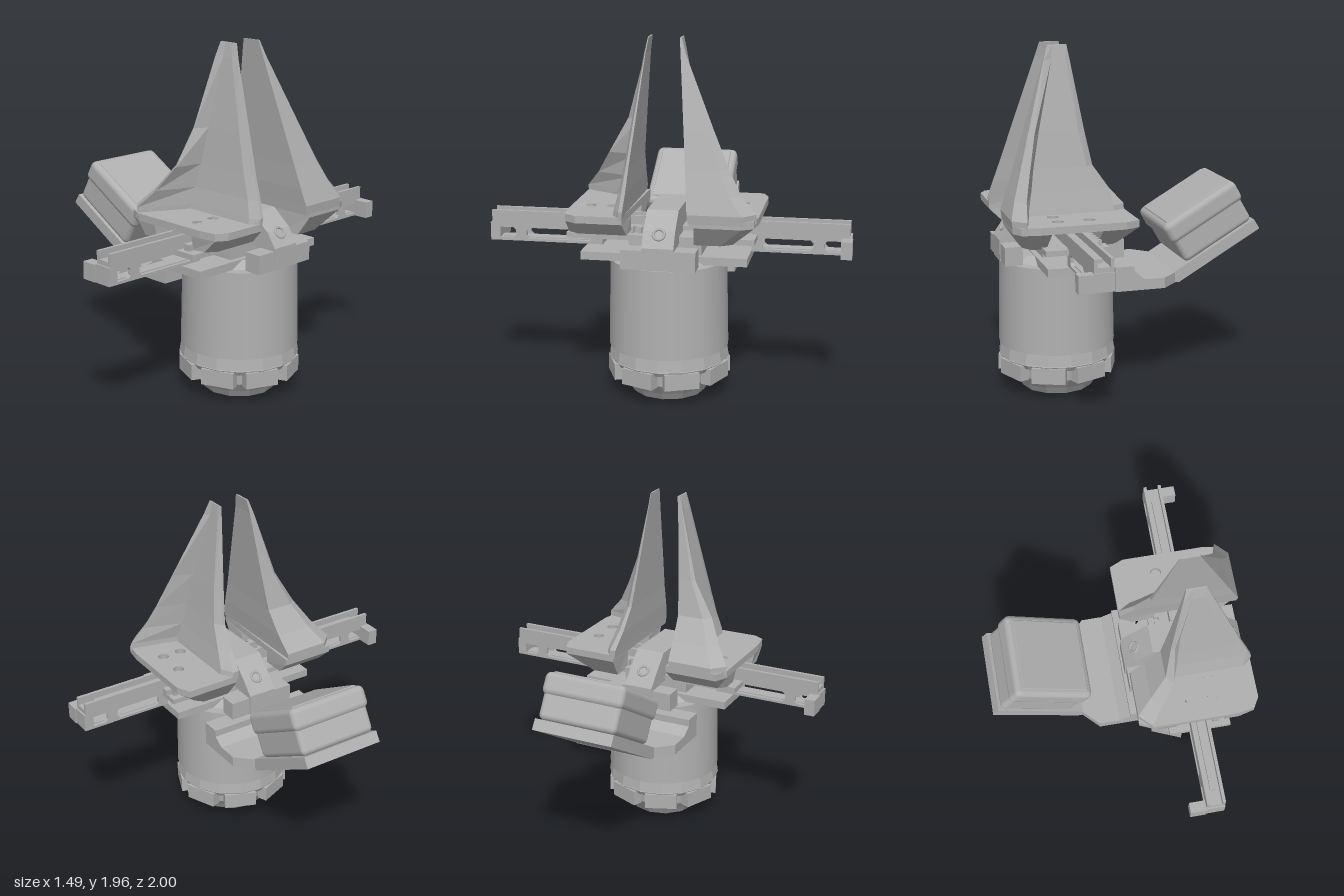
import * as THREE from 'three';
import { RoundedBoxGeometry } from 'three/addons/geometries/RoundedBoxGeometry.js';

const CX = 0.395; // axis of the motor body

export function createModel() {
  const model = new THREE.Group();
  model.name = 'gripper';
  const flat = new THREE.MeshStandardMaterial({ color: 0xb0b0b0 });
  flat.name = 'plain grey';

  const add = (name, geo, parent = model) => {
    const m = new THREE.Mesh(geo, flat);
    m.name = name;
    parent.add(m);
    return m;
  };
  // box given by its limits
  const box = (name, x0, x1, y0, y1, z0, z1) => {
    const [za, zb] = [Math.min(z0, z1), Math.max(z0, z1)];
    return add(name, new THREE.BoxGeometry(x1 - x0, y1 - y0, zb - za)
      .translate((x0 + x1) / 2, (y0 + y1) / 2, (za + zb) / 2));
  };
  const shapeOf = (pts) => new THREE.Shape(pts.map(([a, b]) => new THREE.Vector2(a, b)));
  const extrude = (shape, depth) =>
    new THREE.ExtrudeGeometry(shape, { depth, bevelEnabled: false, curveSegments: 8 });
  // side profile in x, y extruded over z
  const profile = (name, pts, z0, z1) => add(name, extrude(shapeOf(pts), z1 - z0).translate(0, 0, z0));
  // plan outline in x, z extruded over y, with round holes
  const plan = (name, pts, y0, y1, holes = [], r = 0.032) => {
    const s = shapeOf(pts.map(([x, z]) => [x, -z]));
    for (const [x, z] of holes) s.holes.push(new THREE.Path().absarc(x, -z, r, 0, Math.PI * 2, true));
    return add(name, extrude(s, y1 - y0).rotateX(-Math.PI / 2).translate(0, y0, 0));
  };
  // solid through horizontal sections [y, [x, z]...]
  const loft = (name, sections) => {
    let rings = sections.map(([y, ...pts]) => pts.map(([x, z]) => new THREE.Vector3(x, y, z)));
    const flatten = (ring) => ring.map((p) => new THREE.Vector2(p.x, -p.z));
    if (THREE.ShapeUtils.area(flatten(rings[0])) < 0) rings = rings.map((r) => r.reverse());
    const tris = [];
    const n = rings[0].length;
    for (let k = 0; k + 1 < rings.length; k++) {
      for (let i = 0; i < n; i++) {
        const j = (i + 1) % n, lo = rings[k], hi = rings[k + 1];
        tris.push(lo[i], lo[j], hi[j], lo[i], hi[j], hi[i]);
      }
    }
    const top = rings[rings.length - 1];
    for (const [a, b, c] of THREE.ShapeUtils.triangulateShape(flatten(top), [])) tris.push(top[a], top[b], top[c]);
    const bot = rings[0];
    for (const [a, b, c] of THREE.ShapeUtils.triangulateShape(flatten(bot), [])) tris.push(bot[c], bot[b], bot[a]);
    const g = new THREE.BufferGeometry().setFromPoints(tris);
    g.computeVertexNormals();
    return add(name, g);
  };
  const cylinder = (name, rTop, rBottom, y0, y1, sides, faceted = true) => {
    let g = new THREE.CylinderGeometry(rTop, rBottom, y1 - y0, sides);
    if (faceted) { g = g.toNonIndexed(); g.computeVertexNormals(); }
    return add(name, g.translate(CX, (y0 + y1) / 2, 0));
  };

  // motor body and its stepped collar
  cylinder('motorBody', 0.32, 0.33, 0.27, 0.76, 28, false);
  cylinder('bodyTopDisc', 0.22, 0.27, 0.76, 0.8, 12);
  cylinder('upperCollar', 0.325, 0.335, 0.205, 0.275, 16);
  cylinder('collarCore', 0.28, 0.27, 0.1, 0.21, 16);
  cylinder('lowerCollarLip', 0.325, 0.31, 0.17, 0.195, 16);
  for (let i = 0; i < 8; i++) {
    const a = (i / 8) * Math.PI * 2 + Math.PI / 8;
    const pad = add('collarPad', new THREE.BoxGeometry(0.19, 0.09, 0.06));
    pad.position.set(CX + Math.sin(a) * 0.295, 0.145, Math.cos(a) * 0.295);
    pad.rotation.y = a;
  }
  cylinder('baseTaper', 0.27, 0.225, 0.04, 0.1, 12);
  cylinder('baseFoot', 0.225, 0.2, 0, 0.04, 12);

  // mounting plates between body and rails
  box('crossPad', 0.24, 0.55, 0.76, 0.805, -0.45, 0.46);
  box('gearHousing', 0.27, 0.52, 0.8, 0.9, -0.2, 0.2);
  box('carriagePlate', 0.22, 0.57, 0.885, 0.915, -0.49, 0.53);

  // central bridge with two legs
  profile('bridge', [[0.04, 0.77], [0.04, 0.89], [0.1, 0.96], [0.2, 1.06], [0.57, 1.06], [0.68, 0.97],
    [0.735, 0.89], [0.735, 0.77], [0.62, 0.77], [0.6, 0.88], [0.16, 0.88], [0.14, 0.77]], -0.085, 0.085);
  for (const x of [0.05, 0.63]) box('bridgeShoulder', x, x + 0.1, 0.77, 0.875, -0.2, 0.2);
  for (const [x, y, tilt] of [[0.105, 0.966, 0.75], [0.69, 0.956, -0.92]]) {
    const screw = add('bridgeScrew', new THREE.TorusGeometry(0.03, 0.008, 6, 14).rotateX(Math.PI / 2));
    screw.position.set(x, y, 0);
    screw.rotation.z = tilt;
  }

  // two sliding rails, one toward the front and one toward the back
  const slot = (a, b, y0, y1) => {
    const c = 0.015;
    return new THREE.Path([[a + c, y0], [a, y0 + c], [a, y1 - c], [a + c, y1], [b - c, y1], [b, y1 - c],
      [b, y0 + c], [b - c, y0]].map(([u, v]) => new THREE.Vector2(u, v)));
  };
  for (const s of [1, -1]) {
    const x0 = 0.34, x1 = 0.445;
    box('railWeb', x0, x1, 0.92, 0.945, 0, s * 0.985);
    for (const x of [x0, x1 - 0.018]) box('railLip', x, x + 0.018, 0.945, 0.99, s * 0.12, s * 0.985);
    box('railCore', 0.375, 0.41, 0.945, 0.965, s * 0.2, s * 0.9);
    // slotted lower channel
    const start = s > 0 ? 0.36 : 0.46;
    for (const x of [x0, x1 - 0.02]) {
      const wall = shapeOf([[start, 0.82], [0.985, 0.82], [0.985, 0.92], [start, 0.92]]);
      wall.holes.push(slot(start + 0.06, 0.79, 0.835, 0.895), slot(0.85, 0.97, 0.835, 0.895));
      const g = extrude(wall, 0.02).rotateY(-Math.PI / 2).translate(x + 0.02, 0, 0);
      if (s < 0) g.rotateY(Math.PI).translate(2 * x + 0.02, 0, 0);
      add('channelWall', g);
    }
    box('channelFloor', x0 + 0.02, x1 - 0.02, 0.82, 0.84, s * start, s * 0.985);
    box('channelEnd', x0, x1, 0.82, 0.92, s * 0.94, s * 0.995);
    // end hook, on opposite sides
    if (s > 0) box('endHook', 0.25, x0, 0.82, 0.915, 0.94, 1);
    else box('endHook', x1, 0.53, 0.82, 0.915, -1, -0.94);
    // toothed rack beside the rail
    const rx = s > 0 ? 0.47 : 0.28;
    box('rackBar', rx, rx + 0.04, 0.915, 0.95, s * 0.05, s * 0.5);
    for (let i = 0; i < 9; i++) {
      const z = s * (0.09 + i * 0.045);
      box('rackTooth', rx + (s > 0 ? 0.04 : -0.025), rx + (s > 0 ? 0.065 : 0), 0.915, 0.95, z - 0.012, z + 0.012);
    }
  }

  // fingers: base cheeks, screw platform and ribbed blade
  for (const s of [1, -1]) {
    const front = s > 0;
    const at = (pts) => pts.map(([x, z]) => [x, s * z]);
    const outline = at([[0.05, 0.17], [0.735, 0.19], [0.735, 0.44], [0.7, 0.5], [0.6, 0.515], [0.13, 0.515], [0.05, 0.48]]);
    // cheeks on both sides of the rail passage
    const low = front ? 0.935 : 0.9;
    const reach = front ? 0.5 : 0.38;
    loft('leftCheek', [
      [low, ...at([[0.54, 0.18], [0.66, 0.18], [0.66, reach - 0.06], [0.62, reach], [0.54, reach]])],
      [1.01, ...at([[0.54, 0.18], [0.735, 0.19], [0.735, 0.44], [0.7, 0.5], [0.54, 0.515]])],
    ]);
    loft('rightCheek', [
      [low, ...at([[0.26, 0.18], [0.13, 0.18], [0.13, reach - 0.04], [0.17, reach], [0.26, reach]])],
      [1.01, ...at([[0.26, 0.18], [0.05, 0.17], [0.05, 0.48], [0.13, 0.515], [0.26, 0.515]])],
    ]);
    const screws = at(front ? [[0.305, 0.41], [0.48, 0.41], [0.48, 0.295]] : [[0.305, 0.4], [0.48, 0.4], [0.48, 0.285]]);
    plan('screwPlatform', outline, 1.01, 1.05, screws);
    for (const [x, z] of screws) {
      add('screwHead', new THREE.CylinderGeometry(0.034, 0.034, 0.02, 10).translate(x, 1.01, z));
    }
    // [y, left x, right x, inner z, panel z, deep rib z, thin edge z, panel left x, panel right x]
    const rows = front ? [
      [1.03, 0.05, 0.735, 0.19, 0.25, 0.515, 0.21, 0.25, 0.69],
      [1.08, 0.05, 0.74, 0.185, 0.24, 0.515, 0.205, 0.26, 0.69],
      [1.17, 0.13, 0.71, 0.175, 0.22, 0.44, 0.195, 0.27, 0.66],
      [1.3, 0.22, 0.665, 0.165, 0.2, 0.36, 0.18, 0.29, 0.61],
      [1.5, 0.26, 0.6, 0.145, 0.175, 0.245, 0.157, 0.32, 0.55],
      [1.88, 0.325, 0.475, 0.108, 0.122, 0.135, 0.112, 0.375, 0.44],
      [1.96, 0.34, 0.45, 0.095, 0.105, 0.107, 0.1, 0.375, 0.42],
    ] : [
      [1.03, 0.05, 0.735, 0.16, 0.24, 0.51, 0.2, 0.12, 0.6],
      [1.08, 0.05, 0.74, 0.155, 0.23, 0.51, 0.19, 0.12, 0.6],
      [1.17, 0.13, 0.71, 0.145, 0.21, 0.43, 0.17, 0.18, 0.58],
      [1.3, 0.22, 0.665, 0.135, 0.185, 0.36, 0.155, 0.26, 0.56],
      [1.5, 0.26, 0.6, 0.115, 0.155, 0.27, 0.13, 0.3, 0.52],
      [1.88, 0.325, 0.475, 0.078, 0.092, 0.105, 0.082, 0.35, 0.43],
      [1.96, 0.34, 0.45, 0.07, 0.078, 0.08, 0.074, 0.37, 0.42],
    ];
    loft('fingerBlade', rows.map(([y, l, r, zi, zp, deep, thin, pl, pr]) => {
      // the deep rib has a bevelled crest that widens toward the base
      const bevel = (deep - zp) * 0.25;
      const rib = (x, dir) => [[x, deep - bevel], [x + dir * bevel, deep]];
      return [y, ...at(front
        ? [[l, zi], [r, zi], [r, thin], [pr, zp], [pl, zp], ...rib(l, 1).reverse()]
        : [[l, zi], [r, zi], ...rib(r, -1), [pr, zp], [pl, zp], [l, thin]])];
    }));
  }

  // camera bracket
  plan('bracketPlate', [[-0.27, -0.24], [-0.24, -0.24], [-0.15, -0.33], [0.14, -0.33], [0.14, 0.33],
    [-0.15, 0.33], [-0.24, 0.24], [-0.27, 0.24]], 0.61, 0.67);
  profile('bracketFlange', [[-0.04, 0.665], [0.03, 0.71], [0.03, 0.75], [0.14, 0.75], [0.14, 0.665]], -0.33, 0.33);
  profile('bracketArm', [[-0.75, 0.89], [-0.265, 0.61], [-0.235, 0.67], [-0.715, 0.945]], -0.24, 0.24);

  // camera pod: narrower lower half under a wider cap
  const pod = new THREE.Group();
  pod.name = 'cameraPod';
  pod.position.set(-0.445, 0.94, 0);
  pod.rotation.z = -Math.PI / 6;
  model.add(pod);
  add('podLower', new RoundedBoxGeometry(0.46, 0.19, 0.47, 2, 0.03).translate(0, -0.035, 0), pod);
  add('podUpper', new RoundedBoxGeometry(0.49, 0.13, 0.49, 2, 0.035).translate(0.0, 0.07, 0), pod);
  add('podLid', new RoundedBoxGeometry(0.42, 0.02, 0.42, 1, 0.008).translate(0.0, 0.132, 0), pod);

  return model;
}
